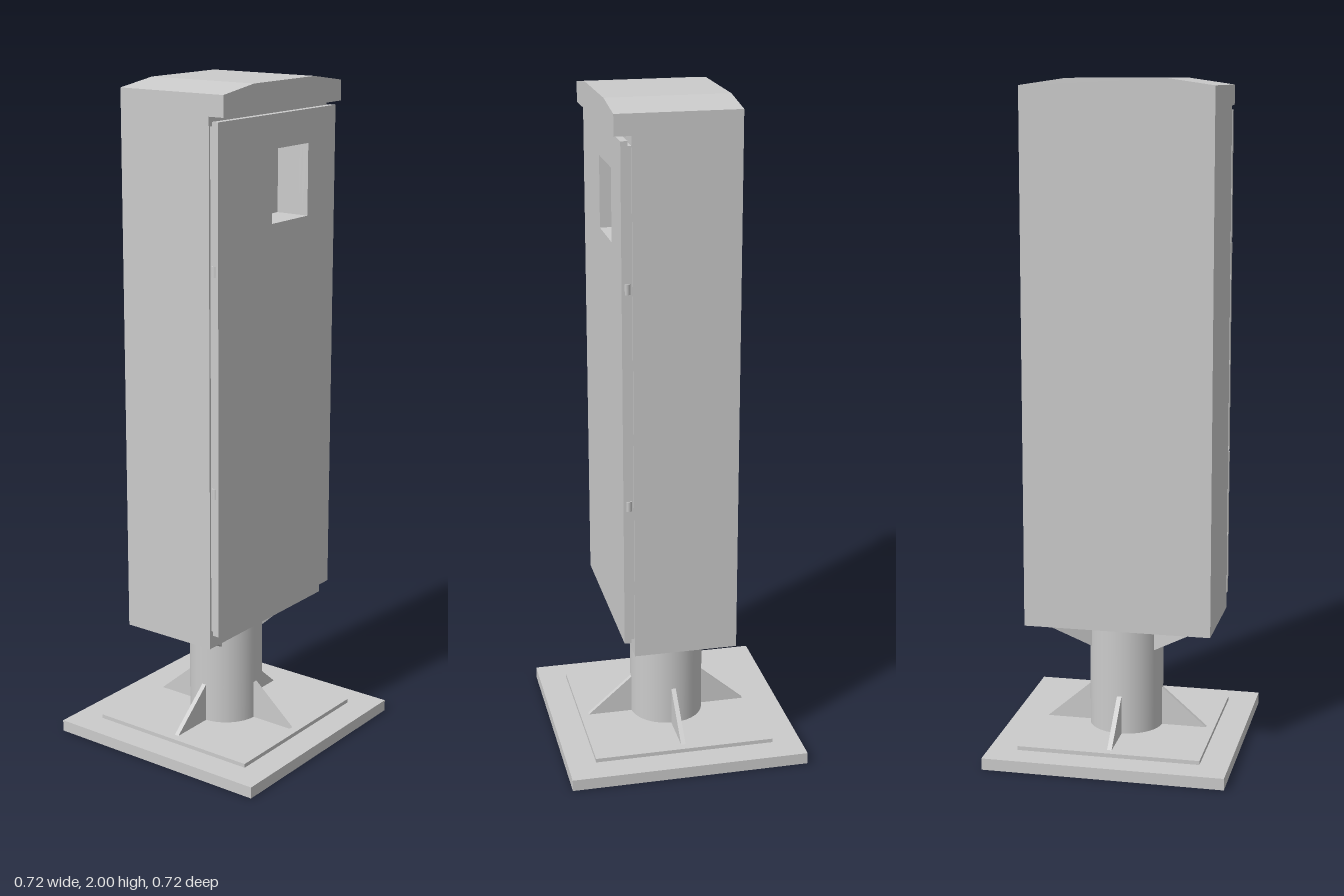
import * as THREE from 'three';

const material = new THREE.MeshStandardMaterial({ color: 0xcccccc });

function add(parent, name, geometry, x = 0, y = 0, z = 0) {
  const mesh = new THREE.Mesh(geometry, material);
  mesh.name = name;
  mesh.position.set(x, y, z);
  parent.add(mesh);
  return mesh;
}

const polygon = (points) => new THREE.Shape(points.map(([x, y]) => new THREE.Vector2(x, y)));

// Extrude a front-facing shape between two depths
function slab(shape, z0, z1) {
  return new THREE.ExtrudeGeometry(shape, { depth: z1 - z0, bevelEnabled: false }).translate(0, 0, z0);
}

const W = 0.283;
const WINDOW = [[-0.032, 1.6], [-0.032, 1.81], [0.145, 1.81], [0.145, 1.6]];

function withWindow(points) {
  const shape = polygon(points);
  shape.holes.push(new THREE.Path(WINDOW.map(([x, y]) => new THREE.Vector2(x, y))));
  return shape;
}

const rect = (w, y0, y1) => [[-w, y0], [w, y0], [w, y1], [-w, y1]];

// Outline with a gently chamfered top
const roofed = (y0) => [[-W, y0], [W, y0], [W, 1.98], [0.145, 2], [-0.145, 2], [-W, 1.98]];

// Triangular rib standing against the column, turned about the y axis
function rib(parent, name, points, thickness, angle) {
  const mesh = add(parent, name, slab(polygon(points), -thickness / 2, thickness / 2));
  mesh.rotation.y = angle;
}

export function createModel() {
  const model = new THREE.Group();
  model.name = 'pedestalCabinet';

  // Base plates
  const base = new THREE.Group();
  base.name = 'base';
  model.add(base);
  add(base, 'groundPlate', new THREE.BoxGeometry(0.722, 0.035, 0.722), 0, 0.0175, 0);
  add(base, 'mountingPlate', new THREE.BoxGeometry(0.55, 0.012, 0.55), 0, 0.041, 0);

  // Column and its ribs
  add(base, 'column', new THREE.CylinderGeometry(0.112, 0.112, 0.34, 48), 0, 0.213, 0);
  for (let i = 0; i < 4; i++) {
    rib(base, 'footRib', [[0.1, 0.046], [0.25, 0.046], [0.112, 0.165], [0.1, 0.165]], 0.014, i * Math.PI / 2);
  }
  for (const angle of [0.47, Math.PI - 0.47, Math.PI + 0.47, -0.47]) {
    rib(base, 'headRib', [[0.1, 0.3], [0.112, 0.3], [0.26, 0.382], [0.1, 0.382]], 0.014, angle);
  }

  // Cabinet, pierced at the front for the display recess
  const cabinet = new THREE.Group();
  cabinet.name = 'cabinet';
  model.add(cabinet);
  add(cabinet, 'cabinetBack', slab(polygon(roofed(0.382)), -0.152, 0.08));
  add(cabinet, 'cabinetFront', slab(withWindow(roofed(0.382)), 0.08, 0.155));
  add(cabinet, 'hood', slab(polygon(roofed(1.92)), 0.155, 0.204));

  // Door: inner panel and outer skin around the display opening
  const door = new THREE.Group();
  door.name = 'door';
  model.add(door);
  add(door, 'doorLiner', slab(withWindow(rect(0.277, 0.437, 1.893)), 0.155, 0.166));
  add(door, 'doorSkin', slab(withWindow(rect(W, 0.427, 1.907)), 0.166, 0.186));

  // Small hinge pins on the door edges
  for (const side of [-1, 1]) {
    for (const y of [0.86, 1.5]) {
      add(door, 'hingePin', new THREE.CylinderGeometry(0.01, 0.01, 0.03, 16), side * 0.276, y, 0.17);
    }
  }

  return model;
}
